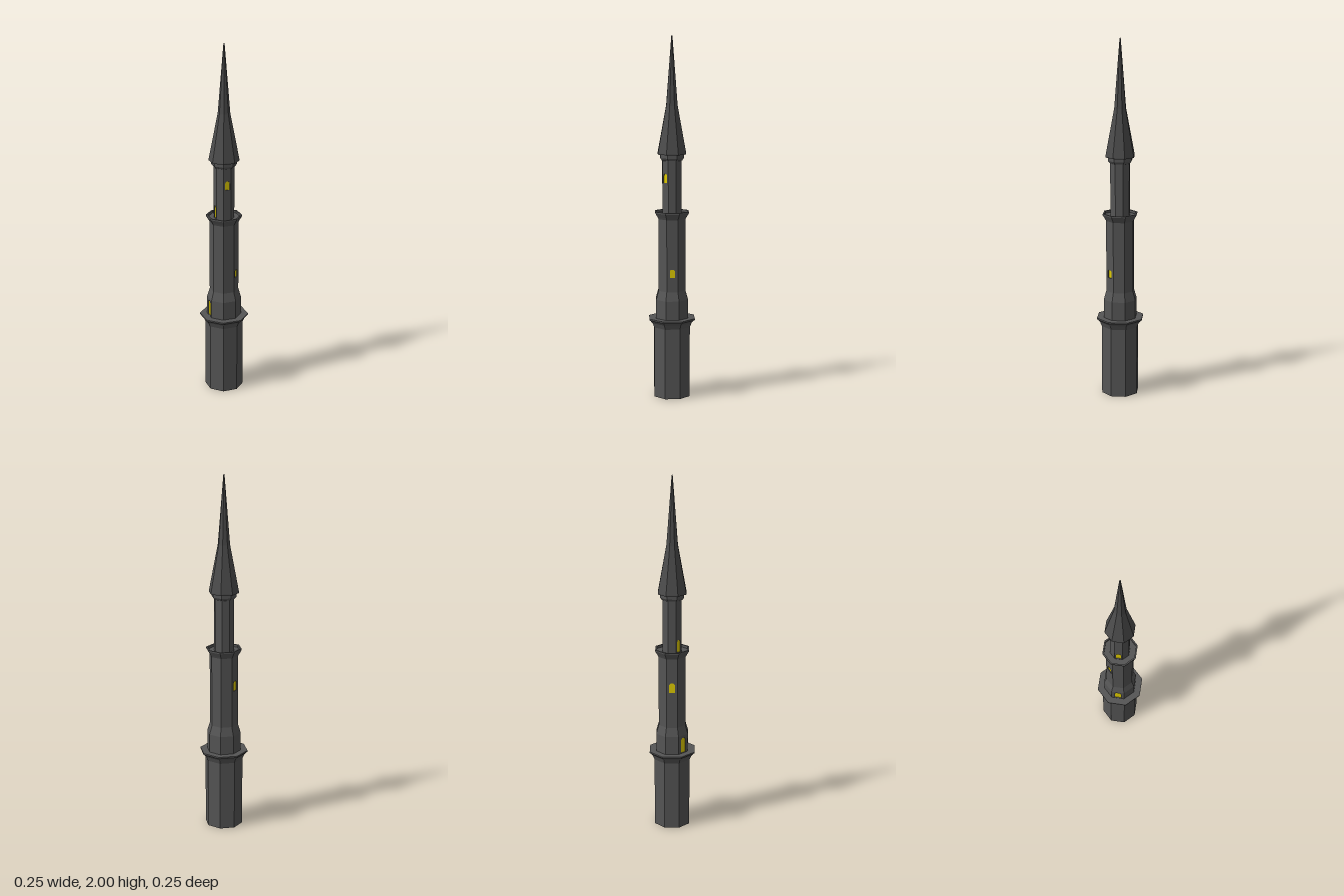
import * as THREE from 'three';
import { mergeGeometries } from 'three/addons/utils/BufferGeometryUtils.js';

const SIDES = 8;
const STEP = (Math.PI * 2) / SIDES;
const RECESS = 0.008;

const stone = new THREE.MeshStandardMaterial({ color: 0x555555, flatShading: true });
const slate = new THREE.MeshStandardMaterial({ color: 0x4c4c4c, flatShading: true });
const glow = new THREE.MeshStandardMaterial({ color: 0xe0cc00, flatShading: true });

function named(name, geometry, material) {
  const mesh = new THREE.Mesh(geometry, material);
  mesh.name = name;
  return mesh;
}

// Octagonal ring from [apothem, height] pairs, listed bottom to top on the outside
function octagon(name, profile, material = stone) {
  const points = profile.map(([a, y]) => new THREE.Vector2(a / Math.cos(STEP / 2), y));
  return named(name, new THREE.LatheGeometry(points, SIDES, STEP / 2), material);
}

// Outline of a window or door; the arch is a chamfered head
function openingPoints({ width, bottom, top, arch = 0 }) {
  const w = width / 2;
  const pts = [[-w, bottom], [w, bottom], [w, top - arch]];
  if (arch) pts.push([w * 0.5, top], [-w * 0.5, top]);
  pts.push([-w, top - arch]);
  return pts.map(([x, y]) => new THREE.Vector2(x, y));
}

// Eight wall panels; side 0 faces +z, side 2 faces +x. Openings are cut through and lit from behind.
function walls(name, apothem, y0, y1, openings) {
  const group = new THREE.Group();
  group.name = name;
  const half = apothem * Math.tan(STEP / 2);
  const panels = [];
  for (let i = 0; i < SIDES; i++) {
    const shape = new THREE.Shape([[-half, y0], [half, y0], [half, y1], [-half, y1]]
      .map(([x, y]) => new THREE.Vector2(x, y)));
    for (const o of openings.filter((q) => q.side === i)) {
      const outline = openingPoints(o);
      shape.holes.push(new THREE.Path(outline));
      const pane = new THREE.ShapeGeometry(new THREE.Shape(outline));
      pane.translate(0, 0, apothem - RECESS * 0.6).rotateY(i * STEP);
      group.add(named(o.name, pane, glow));
    }
    const panel = new THREE.ExtrudeGeometry(shape, { depth: RECESS, bevelEnabled: false });
    panels.push(panel.translate(0, 0, apothem - RECESS).rotateY(i * STEP));
  }
  group.add(named(name + 'Panels', mergeGeometries(panels), stone));
  return group;
}

export function createModel() {
  const tower = new THREE.Group();
  tower.name = 'tower';

  // Base shaft with its flared ledge
  tower.add(octagon('baseShaft', [
    [0, 0], [0.098, 0], [0.098, 0.395], [0.108, 0.42], [0.12, 0.434],
    [0.125, 0.437], [0.125, 0.445], [0.06, 0.445],
  ]));

  // Lower storey with a door onto the ledge, and the taper above it
  tower.add(walls('lowerStorey', 0.088, 0.435, 0.55, [
    { name: 'lowerDoor', side: 6, width: 0.036, bottom: 0.447, top: 0.535, arch: 0.012 },
  ]));
  tower.add(octagon('taper', [[0.088, 0.55], [0.074, 0.6]]));

  // Middle storey
  tower.add(walls('middleStorey', 0.074, 0.6, 1.0, [
    { name: 'frontSideWindow', side: 1, width: 0.028, bottom: 0.68, top: 0.725, arch: 0.006 },
    { name: 'backSideWindow', side: 5, width: 0.034, bottom: 0.805, top: 0.86, arch: 0.01 },
  ]));

  // Balcony with a low parapet
  tower.add(octagon('balcony', [
    [0.074, 1.0], [0.08, 1.012], [0.09, 1.03], [0.092, 1.033], [0.092, 1.041],
    [0.084, 1.041], [0.084, 1.027], [0.04, 1.027],
  ]));

  // Upper storey
  tower.add(walls('upperStorey', 0.052, 1.015, 1.33, [
    { name: 'frontWindow', side: 0, width: 0.028, bottom: 1.2, top: 1.25, arch: 0.012 },
    { name: 'balconyDoor', side: 6, width: 0.028, bottom: 1.03, top: 1.1, arch: 0.012 },
  ]));

  // Collar under the eaves
  tower.add(octagon('collar', [
    [0.05, 1.32], [0.056, 1.323], [0.064, 1.335], [0.064, 1.36],
  ]));

  // Spire in two slopes
  tower.add(octagon('spire', [
    [0, 1.355], [0.077, 1.355], [0.077, 1.362], [0.031, 1.62], [0.003, 1.995], [0, 2],
  ], slate));

  return tower;
}
